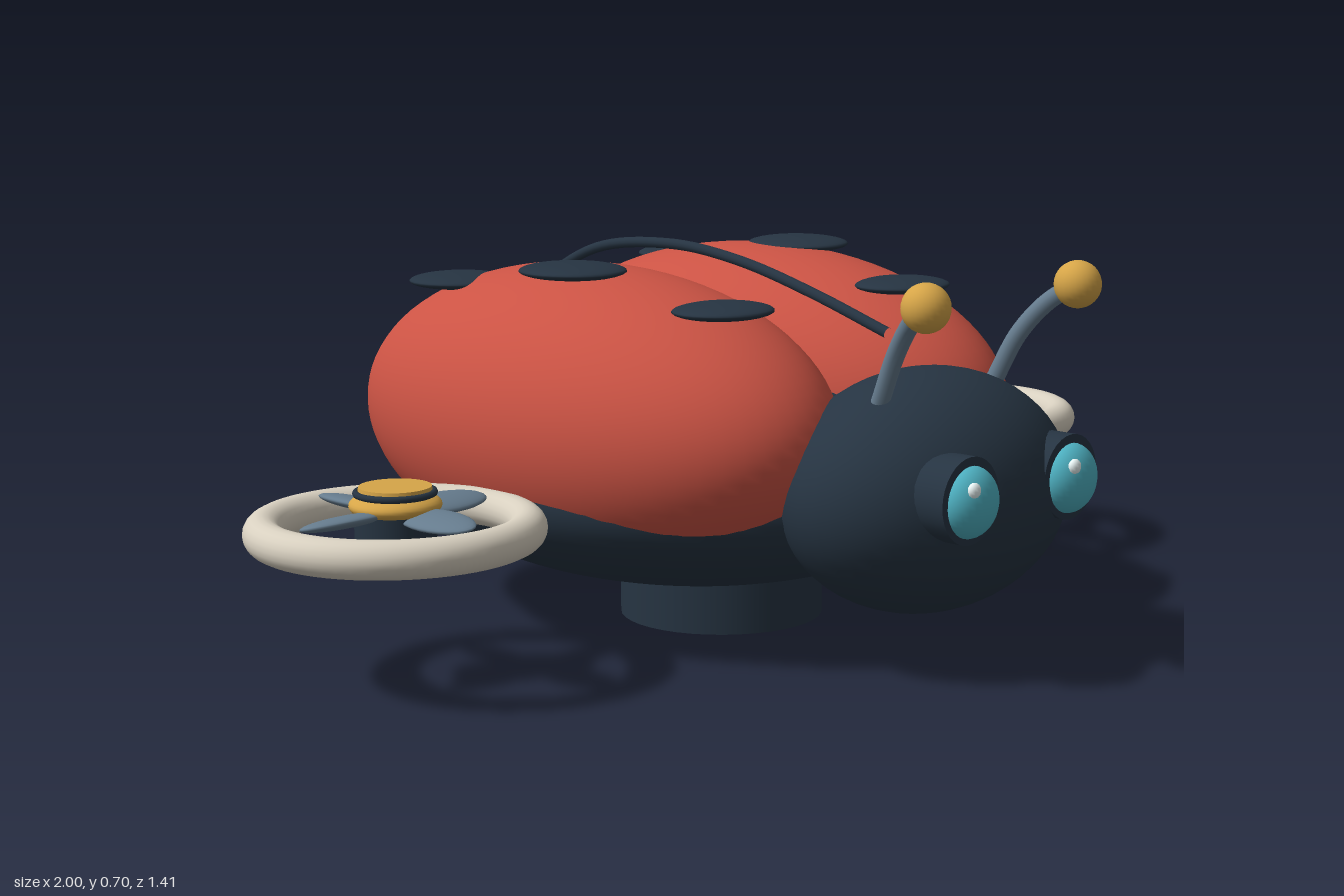
import * as THREE from 'three';

const mat = (color) => new THREE.MeshStandardMaterial({ color });

export function createModel() {
  const model = new THREE.Group();
  const dark = mat(0x263442), red = mat(0xcb5344), gold = mat(0xd6a548);
  const teal = mat(0x4fb3c4), slate = mat(0x667c8e), cream = mat(0xd8d0c0), white = mat(0xe8f4f4);

  const add = (parent, name, geometry, material, x = 0, y = 0, z = 0) => {
    const mesh = new THREE.Mesh(geometry, material);
    mesh.name = name;
    mesh.position.set(x, y, z);
    parent.add(mesh);
    return mesh;
  };
  const ellipsoid = (rx, ry, rz, n = 40) => new THREE.SphereGeometry(1, n, n * 0.7).scale(rx, ry, rz);
  const tube = (points, radius, segments) => new THREE.TubeGeometry(
    new THREE.CatmullRomCurve3(points.map((p) => new THREE.Vector3(...p))), segments, radius, 12);

  // Body, head and foot
  add(model, 'body', ellipsoid(0.52, 0.21, 0.555, 64), dark, 0, 0.28, -0.12);
  add(model, 'head', ellipsoid(0.3, 0.215, 0.22), dark, 0, 0.305, 0.45);
  add(model, 'foot', new THREE.CylinderGeometry(0.19, 0.19, 0.12, 40), dark, 0, 0.06, -0.045);

  // Raised seam between the wing cases
  add(model, 'seam', tube([[0, 0.57, 0.36], [0, 0.625, 0.18], [0, 0.668, 0], [0, 0.685, -0.18],
    [0, 0.658, -0.39], [0, 0.56, -0.56], [0, 0.41, -0.7]], 0.01, 48), dark);

  for (const s of [1, -1]) {
    const side = s > 0 ? 'left' : 'right';

    // Wing case with its three spots
    const shell = add(model, side + 'WingCase', ellipsoid(0.31, 0.28, 0.55, 64), red, s * 0.226, 0.39, -0.15);
    shell.rotation.y = s * 0.03;
    for (const [x, y, z, r] of [[0.24, 0.618, 0.19, 0.085], [0.3, 0.666, -0.125, 0.1], [0.3, 0.622, -0.435, 0.093]]) {
      add(model, side + 'Spot', ellipsoid(0.095, 0.015, r, 28), dark, s * x, y, z);
    }

    // Eye in a short socket, with a glint
    const socket = new THREE.CylinderGeometry(0.075, 0.075, 0.07, 32).rotateX(Math.PI / 2);
    add(model, side + 'EyeSocket', socket, dark, s * 0.138, 0.335, 0.625);
    add(model, side + 'Eye', ellipsoid(0.062, 0.062, 0.043, 28), teal, s * 0.138, 0.333, 0.655);
    add(model, side + 'EyeGlint', ellipsoid(0.014, 0.014, 0.01, 12), white, s * 0.138 - 0.025, 0.36, 0.686);

    // Antenna
    add(model, side + 'Antenna', tube([[s * 0.155, 0.48, 0.475], [s * 0.168, 0.57, 0.52],
      [s * 0.188, 0.63, 0.57], [s * 0.207, 0.66, 0.615]], 0.016, 20), slate);
    add(model, side + 'AntennaTip', ellipsoid(0.042, 0.042, 0.042, 24), gold, s * 0.207, 0.66, 0.615);

    // Ducted rotor
    const rotor = new THREE.Group();
    rotor.name = side + 'Rotor';
    rotor.position.set(s * 0.744, 0.27, -0.092);
    model.add(rotor);
    add(rotor, 'guardRing', new THREE.TorusGeometry(0.223, 0.033, 20, 64).rotateX(Math.PI / 2), cream);
    add(rotor, 'motor', new THREE.CylinderGeometry(0.07, 0.07, 0.11, 32), dark, 0, -0.015, 0);
    add(rotor, 'hub', ellipsoid(0.079, 0.026, 0.079, 32), gold, 0, 0.043, 0);
    add(rotor, 'hubCap', new THREE.CylinderGeometry(0.062, 0.065, 0.02, 32), gold, 0, 0.065, 0);
    add(rotor, 'hubBand', new THREE.TorusGeometry(0.066, 0.006, 8, 40).rotateX(Math.PI / 2), dark, 0, 0.064, 0);
    for (let i = 0; i < 4; i++) {
      const blade = ellipsoid(0.09, 0.011, 0.04, 24).rotateX(0.2).translate(0.107, 0.03, 0);
      add(rotor, 'blade', blade, slate).rotation.y = i * Math.PI / 2;
    }
  }
  return model;
}
